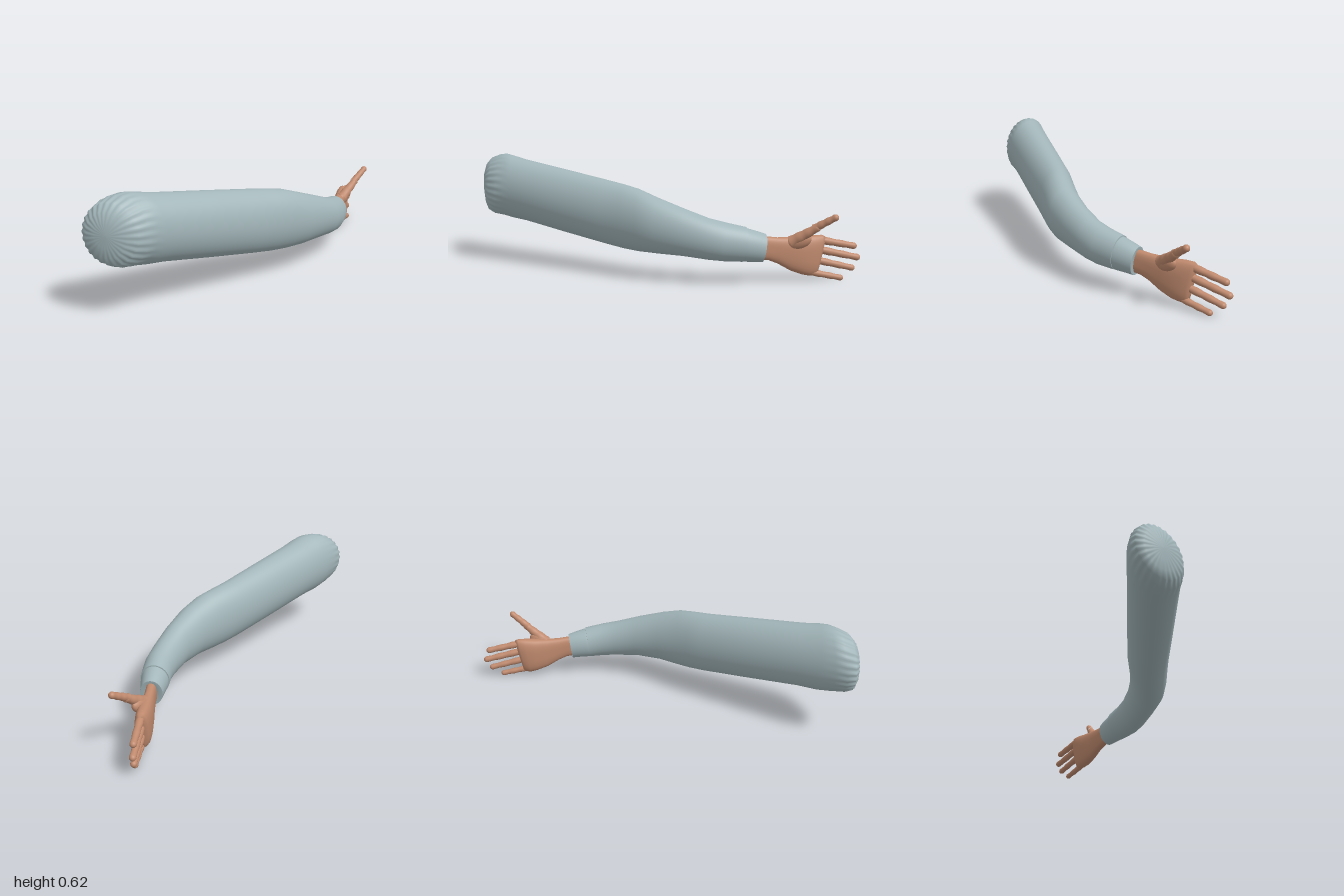
import * as THREE from 'three';

const sleeveMat = new THREE.MeshStandardMaterial({ color: 0xa3b6ba });
sleeveMat.name = 'sleeve fabric';
const skinMat = new THREE.MeshStandardMaterial({ color: 0xc08a6e });
skinMat.name = 'skin';

// Smooth skin over upright ovals. Each section is
// [leftX, leftZ, rightX, rightZ, topY, bottomY, lean in z, rib depth].
function loft(sections, segments, power = 1, ribs = 0) {
  const pos = [], idx = [];
  const bend = (v) => Math.sign(v) * Math.pow(Math.abs(v), power);
  for (const [lx, lz, rx, rz, top, bottom, lean = 0, depth = 0] of sections) {
    for (let j = 0; j < segments; j++) {
      const t = (j / segments) * Math.PI * 2;
      const k = 1 + depth * Math.cos(ribs * t);
      const c = bend(Math.cos(t)) * k, s = bend(Math.sin(t)) * k;
      pos.push(
        (lx + rx) / 2 + ((rx - lx) / 2) * c,
        (top + bottom) / 2 + ((top - bottom) / 2) * s,
        (lz + rz) / 2 + ((rz - lz) / 2) * c + lean * s
      );
    }
  }
  for (let i = 0; i < sections.length - 1; i++) {
    for (let j = 0; j < segments; j++) {
      const n = (j + 1) % segments;
      const a = i * segments + j, b = i * segments + n;
      const c = a + segments, d = b + segments;
      idx.push(a, c, b, b, c, d);
    }
  }
  const g = new THREE.BufferGeometry();
  g.setAttribute('position', new THREE.Float32BufferAttribute(pos, 3));
  g.setIndex(idx);
  g.computeVertexNormals();
  return g;
}

function add(group, name, geometry, material) {
  const m = new THREE.Mesh(geometry, material);
  m.name = name;
  group.add(m);
  return m;
}

// Tapered, round-tipped digit with faint joints, running from a to b
function digit(group, name, a, b, r0, r1) {
  const from = new THREE.Vector3(...a), dir = new THREE.Vector3(...b).sub(from);
  const len = dir.length(), pts = [];
  for (let i = 0; i <= 12; i++) {
    const t = i / 12;
    const r = r0 + (r1 - r0) * t + 0.0012 * Math.cos(t * Math.PI * 6);
    pts.push(new THREE.Vector2(r, t * (len - r1)));
  }
  for (let i = 1; i <= 6; i++) {
    const t = (i / 6) * Math.PI / 2;
    pts.push(new THREE.Vector2(Math.max(0, r1 * Math.cos(t)), len - r1 + r1 * Math.sin(t)));
  }
  const m = add(group, name, new THREE.LatheGeometry(pts, 18), skinMat);
  m.position.copy(from);
  m.quaternion.setFromUnitVectors(new THREE.Vector3(0, 1, 0), dir.normalize());
}

export function createModel() {
  const arm = new THREE.Group();
  arm.name = 'arm';

  // Sleeve: gathered shoulder end, straight upper arm, bent elbow, forearm
  add(arm, 'sleeve', loft([
    [-0.43, 0.992, -0.43, 0.992, 0.45, 0.45],
    [-0.49, 0.988, -0.38, 0.992, 0.51, 0.39, 0, 0.03],
    [-0.535, 0.975, -0.33, 0.983, 0.56, 0.34, -0.004, 0.03],
    [-0.565, 0.95, -0.28, 0.962, 0.598, 0.302, -0.012, 0.025],
    [-0.56, 0.905, -0.24, 0.92, 0.62, 0.28, -0.02, 0.012],
    [-0.53, 0.85, -0.21, 0.88, 0.628, 0.27, -0.01],
    [-0.48, 0.79, -0.185, 0.845, 0.62, 0.258],
    [-0.4, 0.697, -0.14, 0.785, 0.6, 0.25],
    [-0.2, 0.463, 0.02, 0.575, 0.558, 0.207],
    [0, 0.23, 0.175, 0.37, 0.515, 0.167],
    [0.06, 0.17, 0.255, 0.273, 0.5, 0.155],
    [0.11, 0.12, 0.325, 0.19, 0.484, 0.15],
    [0.2, 0.02, 0.385, 0.105, 0.445, 0.15],
    [0.28, -0.1, 0.442, -0.03, 0.395, 0.146],
    [0.33, -0.22, 0.485, -0.16, 0.348, 0.132],
    [0.348, -0.3, 0.505, -0.25, 0.325, 0.126, -0.008],
    [0.352, -0.37, 0.507, -0.37, 0.302, 0.121, -0.012],
    [0.352, -0.37, 0.507, -0.37, 0.302, 0.121, -0.012],
    [0.38, -0.37, 0.48, -0.37, 0.28, 0.14, -0.012],
  ], 130, 1, 26), sleeveMat);

  // Cuff with a turned-in rim
  const rim = [0.372, -0.475, 0.49, -0.475, 0.264, 0.115, -0.01];
  add(arm, 'cuff', loft([
    [0.357, -0.36, 0.502, -0.36, 0.297, 0.123, -0.012],
    [0.356, -0.38, 0.503, -0.38, 0.294, 0.121, -0.012],
    [0.366, -0.44, 0.495, -0.44, 0.276, 0.118, -0.011],
    rim, rim,
    [0.395, -0.475, 0.467, -0.475, 0.245, 0.132, -0.008],
    [0.43, -0.46, 0.43, -0.46, 0.19, 0.19],
  ], 48), sleeveMat);

  // Cuff button
  const button = add(arm, 'cuffButton', new THREE.CylinderGeometry(0.009, 0.01, 0.008, 16), sleeveMat);
  button.position.set(0.385, 0.247, -0.432);
  button.quaternion.setFromUnitVectors(
    new THREE.Vector3(0, 1, 0), new THREE.Vector3(-0.75, 0.6, -0.2).normalize());

  // Hand: wrist and palm
  const hand = new THREE.Group();
  hand.name = 'hand';
  arm.add(hand);
  const palm = [
    [0.403, 0.46, -0.44, 0.25, 0.132, 0],
    [0.402, 0.458, -0.5, 0.249, 0.125, 0],
    [0.4, 0.458, -0.55, 0.243, 0.105, 0],
    [0.393, 0.465, -0.62, 0.243, 0.065, 0],
    [0.388, 0.472, -0.685, 0.245, 0.042, 0],
    [0.388, 0.468, -0.735, 0.25, 0.034, -0.01],
    [0.395, 0.462, -0.77, 0.25, 0.037, -0.018],
    [0.407, 0.452, -0.785, 0.243, 0.046, -0.02],
    [0.43, 0.43, -0.787, 0.21, 0.08, -0.012],
  ].map(([l, r, z, top, bottom, lean]) => [l, z, r, z, top, bottom, lean]);
  add(hand, 'palm', loft(palm, 40, 0.75), skinMat);

  // Four fingers
  digit(hand, 'indexFinger', [0.428, 0.229, -0.75], [0.432, 0.184, -0.98], 0.021, 0.017);
  digit(hand, 'middleFinger', [0.428, 0.178, -0.75], [0.434, 0.122, -1.0], 0.021, 0.017);
  digit(hand, 'ringFinger', [0.43, 0.122, -0.74], [0.438, 0.067, -0.97], 0.02, 0.016);
  digit(hand, 'littleFinger', [0.435, 0.058, -0.71], [0.447, 0.018, -0.905], 0.018, 0.015);

  // Thumb: fleshy base, then two joints
  const mound = add(hand, 'thumbBase', new THREE.SphereGeometry(1, 24, 16), skinMat);
  mound.scale.set(0.03, 0.042, 0.075);
  mound.position.set(0.452, 0.222, -0.65);
  mound.rotation.set(0.35, -0.35, 0);
  digit(hand, 'thumbLower', [0.443, 0.22, -0.62], [0.515, 0.313, -0.75], 0.032, 0.02);
  digit(hand, 'thumbTip', [0.498, 0.298, -0.722], [0.562, 0.37, -0.828], 0.021, 0.017);

  return arm;
}
